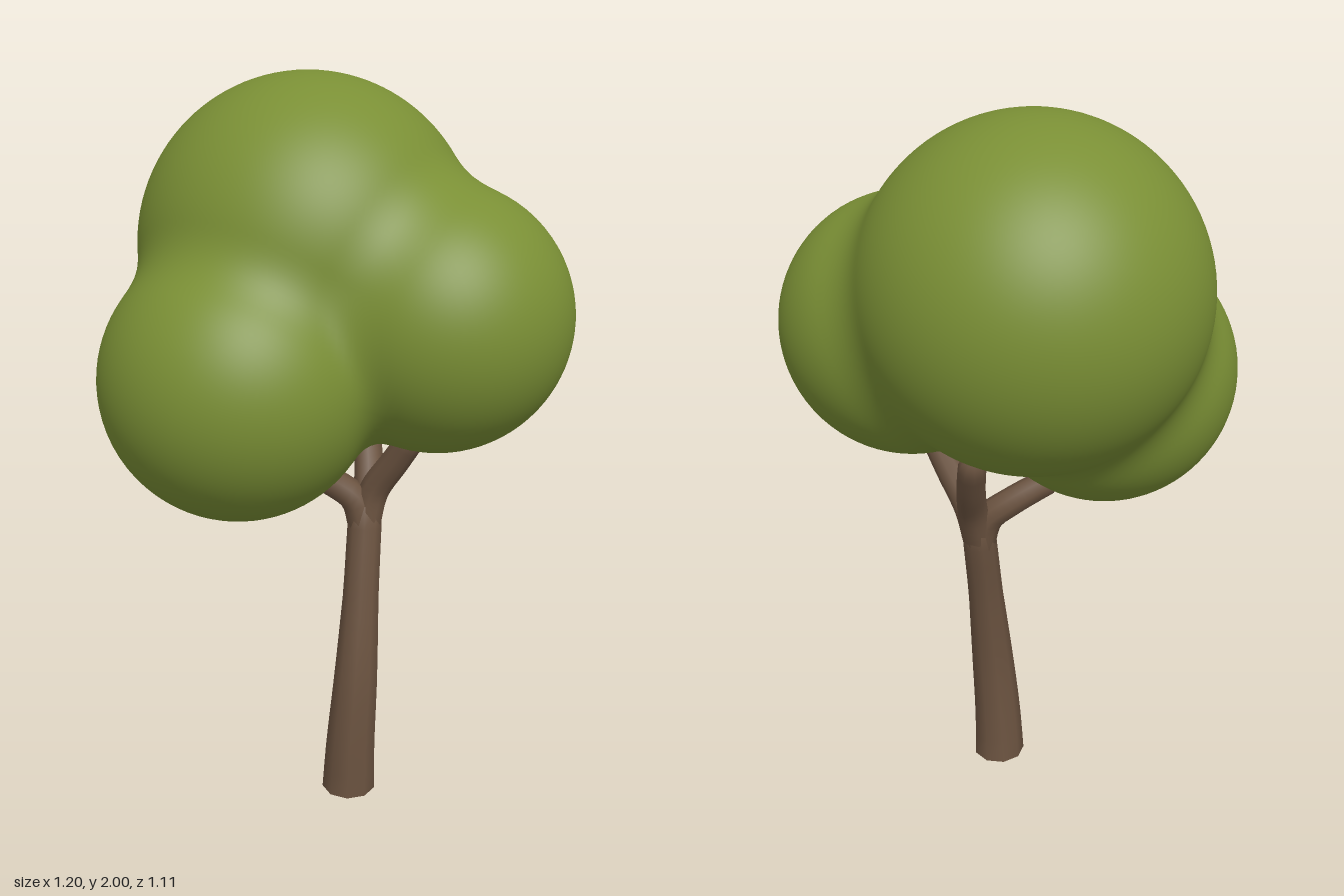
import * as THREE from 'three';
import { mergeVertices } from 'three/addons/utils/BufferGeometryUtils.js';

const bark = new THREE.MeshStandardMaterial({ color: 0x6b5340 });
const leaf = new THREE.MeshStandardMaterial({ color: 0x7a8f35 });

// Weld shared corners so the shading is smooth
function smooth(geometry) {
  geometry.deleteAttribute('uv');
  geometry.deleteAttribute('normal');
  const welded = mergeVertices(geometry, 1e-5);
  welded.computeVertexNormals();
  return welded;
}

// Tube along a curve whose radius follows a list of [u, radius] stops
function limb(name, points, stops, rings = 14, sides = 9) {
  const curve = new THREE.CatmullRomCurve3(points.map((p) => new THREE.Vector3(...p)));
  const geometry = new THREE.TubeGeometry(curve, rings, 1, sides);
  const pos = geometry.attributes.position;
  const v = new THREE.Vector3();
  for (let i = 0; i <= rings; i++) {
    const u = i / rings;
    const k = Math.max(1, stops.findIndex((s) => s[0] >= u - 1e-9));
    const [u0, r0] = stops[k - 1], [u1, r1] = stops[k];
    const radius = THREE.MathUtils.mapLinear(u, u0, u1, r0, r1);
    const centre = curve.getPointAt(u);
    for (let j = 0; j <= sides; j++) {
      const n = i * (sides + 1) + j;
      v.fromBufferAttribute(pos, n).sub(centre).multiplyScalar(radius).add(centre);
      if (points[0][1] === 0 && i === 0) v.y = 0; // level foot
      pos.setXYZ(n, v.x, v.y, v.z);
    }
  }
  const mesh = new THREE.Mesh(smooth(geometry), bark);
  mesh.name = name;
  return mesh;
}

// Three overlapping balls softly blended into one crown
const balls = [
  { c: new THREE.Vector3(0.03, 1.55, -0.105), r: 0.45 },
  { c: new THREE.Vector3(-0.24, 1.25, 0.045), r: 0.36 },
  { c: new THREE.Vector3(0.25, 1.4, 0.205), r: 0.35 },
];
function softMin(a, b, k) {
  const h = Math.max(k - Math.abs(a - b), 0) / k;
  return Math.min(a, b) - h * h * k / 4;
}
function crownDistance(p) {
  return balls.map((b) => p.distanceTo(b.c) - b.r).reduce((a, b) => softMin(a, b, 0.08));
}

function createCrown() {
  const heart = new THREE.Vector3(0.02, 1.42, 0.03); // inside all three balls
  const geometry = new THREE.IcosahedronGeometry(1, 24);
  const pos = geometry.attributes.position;
  const dir = new THREE.Vector3(), p = new THREE.Vector3();
  for (let i = 0; i < pos.count; i++) {
    dir.fromBufferAttribute(pos, i).normalize();
    let near = 0, far = 1.2;
    for (let n = 0; n < 24; n++) {
      const mid = (near + far) / 2;
      p.copy(heart).addScaledVector(dir, mid);
      if (crownDistance(p) < 0) near = mid; else far = mid;
    }
    pos.setXYZ(i, p.x, p.y, p.z);
  }
  const mesh = new THREE.Mesh(smooth(geometry), leaf);
  mesh.name = 'crown';
  return mesh;
}

export function createModel() {
  const tree = new THREE.Group();
  tree.name = 'tree';

  // Leaning trunk with a flat foot
  tree.add(limb('trunk',
    [[0.055, 0, 0.11], [0.058, 0.15, 0.115], [0.072, 0.35, 0.115], [0.1, 0.6, 0.088], [0.127, 0.8, 0.055], [0.142, 0.91, 0.04]],
    [[0, 0.076], [0.38, 0.062], [0.66, 0.05], [0.86, 0.048], [0.93, 0.046], [1, 0]]));
  const foot = new THREE.Mesh(new THREE.CircleGeometry(0.074, 9).rotateX(Math.PI / 2), bark);
  foot.name = 'trunkFoot';
  foot.position.set(0.055, 0, 0.11);
  tree.add(foot);

  // Branches with rounded tips reaching into the crown
  const taper = [[0, 0.044], [0.3, 0.042], [0.86, 0.038], [0.93, 0.03], [1, 0]];
  tree.add(limb('backBranch',
    [[0.128, 0.79, 0.056], [0.155, 0.9, 0.025], [0.18, 1.0, -0.035], [0.2, 1.14, -0.115]], taper));
  tree.add(limb('frontBranch',
    [[0.128, 0.79, 0.056], [0.15, 0.89, 0.065], [0.185, 0.99, 0.12], [0.22, 1.1, 0.185]], taper));
  tree.add(limb('sideBranch',
    [[0.125, 0.78, 0.056], [0.105, 0.86, 0.04], [0.05, 0.91, 0.015], [-0.09, 0.99, -0.02]], taper));

  tree.add(createCrown());
  return tree;
}
